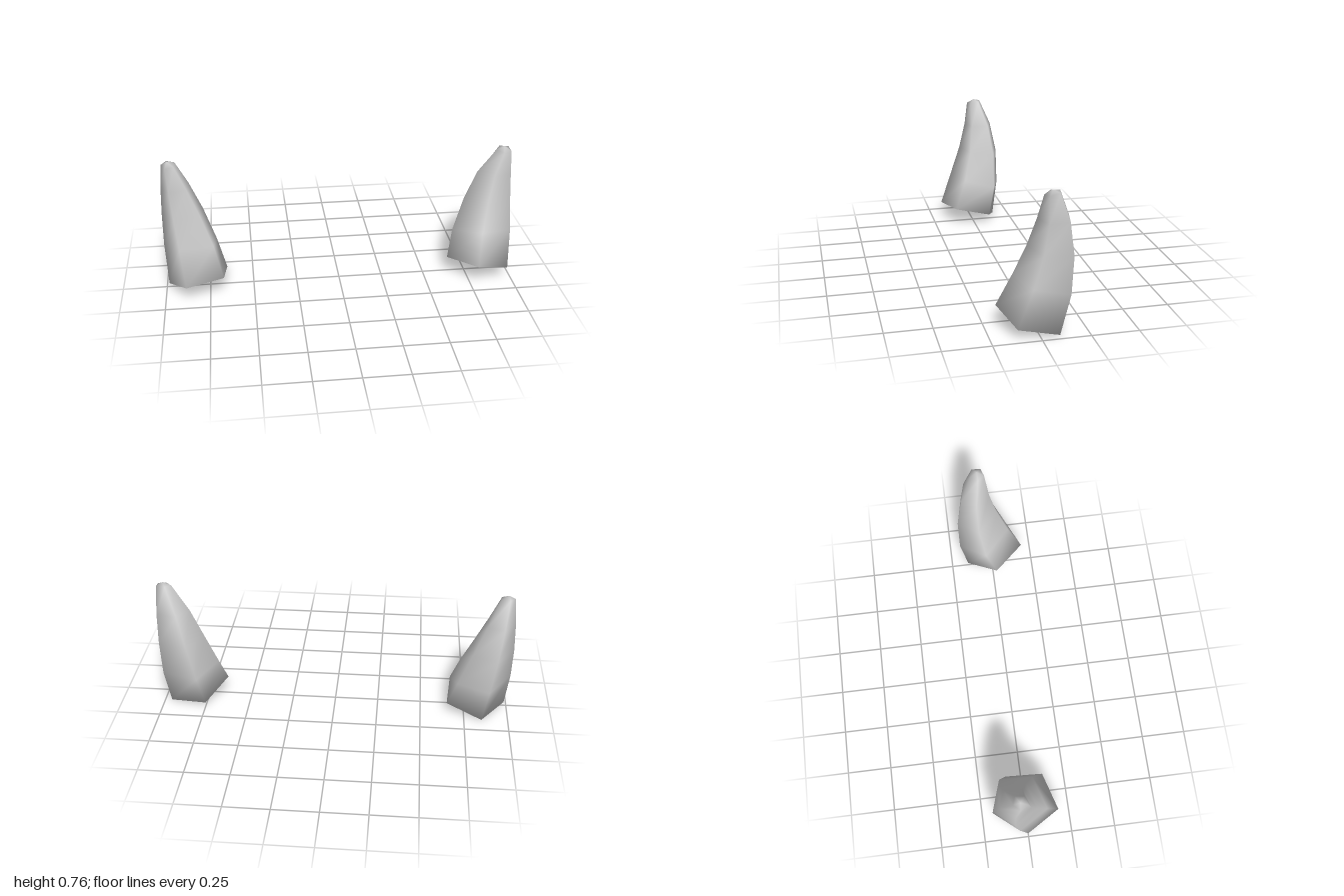
import * as THREE from 'three';

const grey = new THREE.MeshStandardMaterial({ color: 0xcccccc, side: THREE.DoubleSide });
grey.name = 'horn grey';

// Rings above the base, shared by both horns: back z, front z, back y, front y
const RINGS = [
  [-0.19, 0.11, 0.21, 0.29],
  [-0.19, 0.05, 0.42, 0.45],
  [-0.155, 0.01, 0.60, 0.60],
  [-0.09, -0.01, 0.75, 0.735],
];

// Lofts a curved five-sided horn from its tilted base corners to the tip.
// Base corners run clockwise as seen from above; widths gives the inner and
// outer |x| of each ring.
function makeHorn(name, side, base, widths, tipX) {
  const xs = base.map((p) => Math.abs(p[0]));
  const zs = base.map((p) => p[2]);
  const span = (v, list) => (v - Math.min(...list)) / (Math.max(...list) - Math.min(...list));
  const lerp = THREE.MathUtils.lerp;
  const n = base.length;
  const points = base.map((p) => [...p]);
  RINGS.forEach(([zBack, zFront, yBack, yFront], r) => {
    const [inner, outer] = widths[r];
    for (const p of base) {
      const u = span(Math.abs(p[0]), xs);
      const w = span(p[2], zs);
      points.push([side * lerp(inner, outer, u), lerp(yBack, yFront, w), lerp(zBack, zFront, w)]);
    }
  });
  const tip = points.push([side * tipX, 0.76, -0.05]) - 1;
  const middle = [0, 1, 2].map((k) => base.reduce((s, p) => s + p[k], 0) / n);
  const centre = points.push(middle) - 1;

  const index = [];
  for (let j = 0; j < n; j++) {
    const k = (j + 1) % n;
    for (let r = 0; r < RINGS.length; r++) {
      const a = r * n + j, b = r * n + k;
      index.push(a, a + n, b, b, a + n, b + n);
    }
    const top = RINGS.length * n;
    index.push(top + j, tip, top + k); // tip
    index.push(j, k, centre); // underside
  }
  const geometry = new THREE.BufferGeometry();
  geometry.setAttribute('position', new THREE.Float32BufferAttribute(points.flat(), 3));
  geometry.setIndex(index);
  geometry.computeVertexNormals();
  const mesh = new THREE.Mesh(geometry, grey);
  mesh.name = name;
  return mesh;
}

export function createModel() {
  const group = new THREE.Group();
  group.name = 'pair of horns';
  group.add(
    makeHorn('rightHorn', -1, [
      [-0.85, 0, -0.155], [-0.65, 0.06, -0.09], [-0.67, 0.105, 0.12],
      [-0.88, 0.09, 0.185], [-0.985, 0.022, 0],
    ], [[0.70, 1.0], [0.77, 1.0], [0.84, 0.993], [0.905, 0.98]], 0.945),
    makeHorn('leftHorn', 1, [
      [0.64, 0.1, 0.02], [0.75, 0.025, -0.15], [0.96, 0, -0.1],
      [0.98, 0.06, 0.12], [0.79, 0.115, 0.19],
    ], [[0.677, 1.0], [0.742, 1.0], [0.812, 0.998], [0.91, 0.992]], 0.957),
  );
  return group;
}
